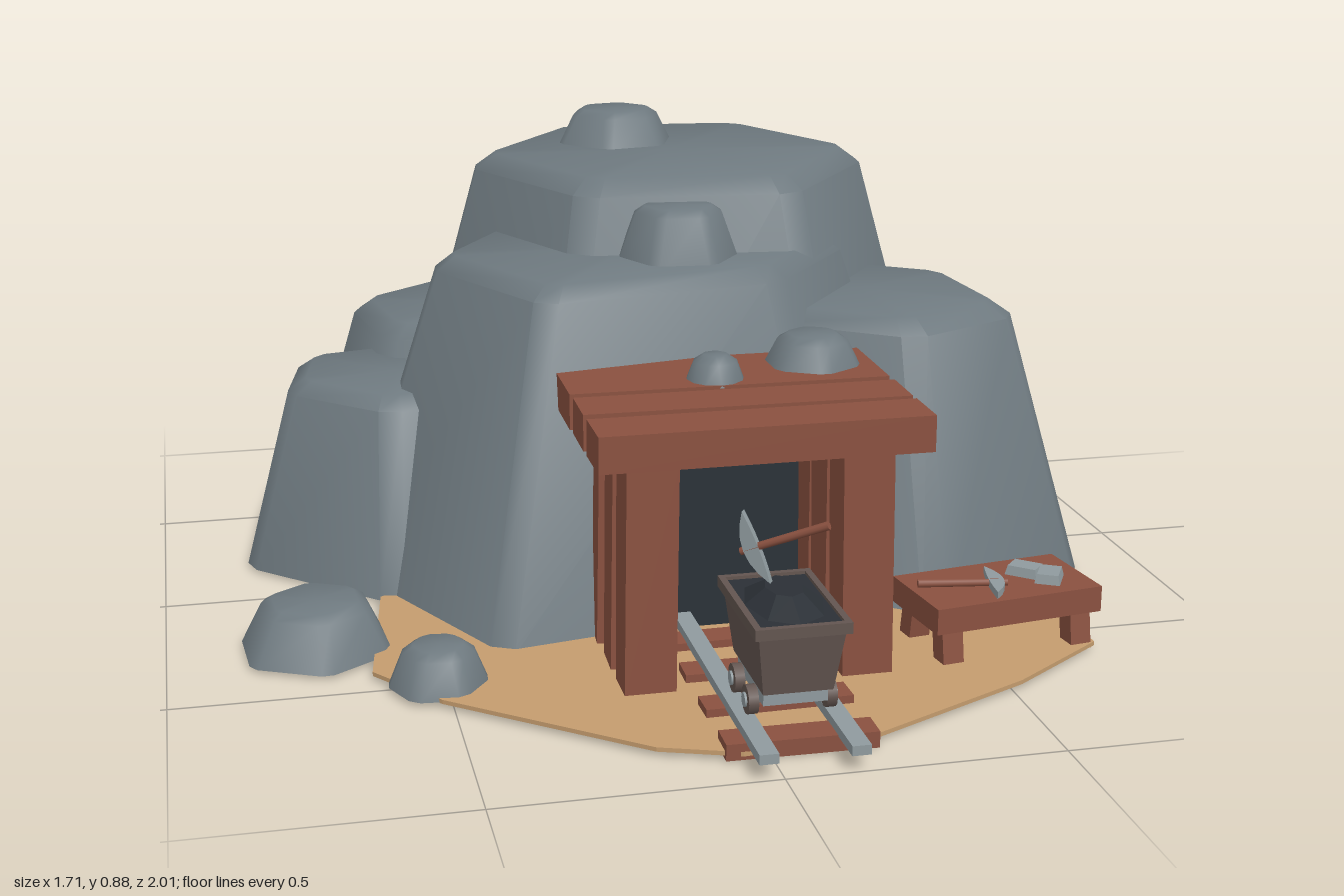
import * as THREE from 'three';
import { toCreasedNormals } from 'three/addons/utils/BufferGeometryUtils.js';

const mat = (name, color) => {
  const m = new THREE.MeshStandardMaterial({ color });
  m.name = name;
  return m;
};

// Bevelled rock: outline of [x, z] corners, narrowing to scale k at the top
function rockGeometry(outline, y0, y1, k, bevel) {
  const n = outline.length;
  const cx = outline.reduce((s, p) => s + p[0], 0) / n;
  const cz = outline.reduce((s, p) => s + p[1], 0) / n;
  // scaled outline with every corner cut into two points
  const ring = (s, y, cut) => outline.flatMap((p, i) =>
    [outline[(i + n - 1) % n], outline[(i + 1) % n]].map(q => {
      const t = cut / Math.hypot(q[0] - p[0], q[1] - p[1]) / s;
      const x = p[0] + (q[0] - p[0]) * t, z = p[1] + (q[1] - p[1]) * t;
      return [cx + (x - cx) * s, y, cz + (z - cz) * s];
    }));
  const r = Math.hypot(outline[0][0] - cx, outline[0][1] - cz);
  const yb = y1 - bevel * 0.65;
  const sb = 1 + (k - 1) * (yb - y0) / (y1 - y0);
  const rings = [ring(1, y0, bevel * 0.7), ring(sb, yb, bevel * 0.7), ring(k - bevel * 0.8 / r, y1, bevel * 0.5)];
  const m = n * 2, pos = [];
  const tri = (...v) => v.forEach(p => pos.push(...p));
  for (let i = 0; i < m; i++) {
    const j = (i + 1) % m;
    for (let l = 0; l < 2; l++) {
      const [a, b] = [rings[l], rings[l + 1]];
      tri(a[i], b[i], a[j]);
      tri(b[i], b[j], a[j]);
    }
    tri([cx, y1, cz], rings[2][j], rings[2][i]);
    tri([cx, y0, cz], rings[0][i], rings[0][j]);
  }
  const g = new THREE.BufferGeometry();
  g.setAttribute('position', new THREE.Float32BufferAttribute(pos, 3));
  return toCreasedNormals(g, 0.8);
}

const hexagon = (x, z, r, turn) => Array.from({ length: 6 }, (_, i) => {
  const a = turn + i * Math.PI / 3;
  return [x + r * Math.cos(a), z + r * Math.sin(a)];
});

// Box whose lower end is scaled by (sx, sz)
function taperedBox(w, h, d, sx, sz) {
  const g = new THREE.BoxGeometry(w, h, d), p = g.attributes.position;
  for (let i = 0; i < p.count; i++)
    if (p.getY(i) < 0) p.setXYZ(i, p.getX(i) * sx, p.getY(i), p.getZ(i) * sz);
  g.computeVertexNormals();
  return g;
}

export function createModel() {
  const model = new THREE.Group();
  model.name = 'mineEntrance';
  const stone = mat('stone', 0x6e797f), wood = mat('wood', 0x8a5140), sand = mat('sand', 0xc49c6e);
  const steel = mat('steel', 0x8f9a9e), dark = mat('shaftDark', 0x2a3238);
  const cartMat = mat('cartBody', 0x635550), coalMat = mat('coal', 0x2b3036);

  const add = (parent, name, geo, material, x = 0, y = 0, z = 0) => {
    const m = new THREE.Mesh(geo, material);
    m.name = name;
    m.position.set(x, y, z);
    parent.add(m);
    return m;
  };
  const box = (parent, name, material, w, h, d, x, y, z) =>
    add(parent, name, new THREE.BoxGeometry(w, h, d), material, x, y, z);
  const group = name => {
    const g = new THREE.Group();
    g.name = name;
    model.add(g);
    return g;
  };

  // Sandy ground
  const edge = [[0.72, 0.25], [0.72, 0.6], [0.52, 0.74], [0.19, 0.9], [-0.05, 0.92], [-0.19, 0.87],
    [-0.52, 0.6], [-0.63, 0.45], [-0.58, 0.08], [-0.2, -0.15], [0.4, -0.15]];
  const ground = new THREE.ExtrudeGeometry(
    new THREE.Shape(edge.map(([x, z]) => new THREE.Vector2(x, -z))), { depth: 0.008, bevelEnabled: false });
  ground.rotateX(-Math.PI / 2);
  add(model, 'ground', ground, sand, 0, 0.007, 0);

  // Mountain of overlapping rocks
  const mountain = group('mountain');
  const rock = (name, outline, y0, y1, k, bevel) => add(mountain, name, rockGeometry(outline, y0, y1, k, bevel), stone);
  rock('peakRock', hexagon(0.12, -0.415, 0.652, -0.944), 0.005, 0.81, 0.655, 0.05);
  rock('middleRock', [[0.67, -0.15], [0.34, 0.28], [-0.39, 0.41], [-0.65, -0.12], [-0.42, -0.48], [0.31, -0.61]],
    0.005, 0.665, 0.655, 0.045);
  rock('leftRock', [[0.82, -0.25], [0.855, 0.23], [0.475, 0.415], [0.07, 0.12], [0.04, -0.35], [0.415, -0.53]],
    0.005, 0.565, 0.66, 0.045);
  rock('backRightRock', [[0.04, -0.79], [0.1, -0.37], [-0.23, -0.11], [-0.62, -0.27], [-0.685, -0.69], [-0.35, -0.96]],
    0.005, 0.46, 0.67, 0.045);
  rock('rightRock', [[-0.17, -0.31], [-0.23, 0.02], [-0.56, 0.095], [-0.835, -0.17], [-0.775, -0.5], [-0.44, -0.57]],
    0.005, 0.395, 0.68, 0.04);
  rock('peakCap', hexagon(0.03, -0.555, 0.145, -0.2), 0.79, 0.882, 0.66, 0.02);
  rock('middleCap', hexagon(0.05, -0.015, 0.135, 0.1), 0.64, 0.767, 0.66, 0.02);

  // Loose boulders on the ground and the roof: x, z, radius, base, top, turn
  [[-0.72, 0.28, 0.155, 0.005, 0.1, 0.45], [-0.515, 0.51, 0.098, 0.008, 0.086, 0.1],
    [0.245, 0.29, 0.1, 0.505, 0.568, 0.5], [0.035, 0.36, 0.062, 0.505, 0.557, 0.3]]
    .forEach(([x, z, r, y0, y1, t]) => rock('boulder', hexagon(x, z, r, t), y0, y1, 0.68, 0.02));

  // Dark shaft opening
  box(model, 'shaftOpening', dark, 0.36, 0.43, 0.008, 0.05, 0.225, 0.36);

  // Timber porch: three pairs of posts and roof planks
  const porch = group('porch');
  [0.61, 0.495, 0.375].forEach((z, i) => {
    for (const s of [-1, 1]) {
      const post = add(porch, 'post', taperedBox(0.095, 0.44, 0.09, 1.0, 0.9), wood, 0.05 + s * 0.2, 0.222, z);
      post.rotation.set((i - 1) * 0.015, i * 0.04 * s, s * 0.012);
    }
  });
  [[0.625, 0.11], [0.493, 0.11], [0.31, 0.21]].forEach(([z, d], i) => {
    const plank = box(porch, 'roofPlank', wood, 0.61, 0.068, d, 0.055, 0.476, z);
    plank.rotation.y = [0, -0.015, -0.012][i];
  });

  // Track
  const track = group('track');
  for (const x of [-0.028, 0.132]) box(track, 'rail', steel, 0.034, 0.018, 0.65, x, 0.037, 0.675);
  for (let i = 0; i < 5; i++) {
    const tie = box(track, 'sleeper', wood, 0.27, 0.03, 0.06, 0.055, 0.015, 0.89 - i * 0.148);
    tie.rotation.y = i % 2 ? 0.02 : -0.015;
  }

  // Mine cart
  const cart = group('cart');
  cart.position.set(0.053, 0, 0.787);
  add(cart, 'cartBody', taperedBox(0.155, 0.12, 0.245, 0.8, 0.82), cartMat, 0, 0.16, 0);
  for (const s of [-1, 1]) {
    box(cart, 'cartRim', cartMat, 0.012, 0.02, 0.262, s * 0.079, 0.222, 0);
    box(cart, 'cartRim', cartMat, 0.17, 0.02, 0.012, 0, 0.222, s * 0.125);
  }
  box(cart, 'chassis', steel, 0.115, 0.03, 0.17, 0, 0.088, 0);
  for (const z of [-0.045, 0.048]) {
    add(cart, 'axle', new THREE.CylinderGeometry(0.008, 0.008, 0.15, 8).rotateZ(Math.PI / 2), steel, 0, 0.072, z);
    for (const s of [-1, 1]) {
      const wheel = side => new THREE.CylinderGeometry(side, side, 0.018, 12).rotateZ(Math.PI / 2);
      add(cart, 'wheel', wheel(0.026), cartMat, s * 0.07, 0.072, z);
      add(cart, 'hub', wheel(0.013), steel, s * 0.074, 0.072, z);
    }
  }
  const coal = new THREE.CylinderGeometry(0.045, 0.1, 0.032, 8).toNonIndexed();
  coal.scale(0.74, 1, 1.16);
  coal.computeVertexNormals();
  add(cart, 'coal', coal, coalMat, 0, 0.239, 0);
  box(cart, 'coalBed', coalMat, 0.148, 0.01, 0.24, 0, 0.221, 0);

  // Pickaxe: handle along +x, curved head at x = 0 spanning y
  const pickaxe = name => {
    const g = group(name);
    add(g, 'handle', new THREE.CylinderGeometry(0.007, 0.008, 0.17, 8).rotateZ(Math.PI / 2), wood, 0.065, 0, 0);
    const s = new THREE.Shape();
    s.moveTo(0.02, 0.068);
    s.quadraticCurveTo(-0.03, 0, 0.02, -0.068);
    s.quadraticCurveTo(0.028, 0, 0.02, 0.068);
    const head = new THREE.ExtrudeGeometry(s, { depth: 0.014, bevelEnabled: false, curveSegments: 6 });
    add(g, 'head', head, steel, -0.008, 0, -0.007);
    return g;
  };
  const cartPick = pickaxe('cartPickaxe');
  cartPick.position.set(0.003, 0.315, 0.752);
  cartPick.rotation.set(0, -0.56, 0.4);
  const tablePick = pickaxe('tablePickaxe');
  tablePick.position.set(0.535, 0.135, 0.56);
  tablePick.rotation.set(-Math.PI / 2, 0, Math.PI - 0.17);

  // Work table with metal bars
  const table = group('table');
  table.position.set(0.545, 0, 0.535);
  table.rotation.y = 0.14;
  box(table, 'tableTop', wood, 0.345, 0.05, 0.185, 0, 0.102, 0);
  for (const x of [-1, 1]) for (const z of [-1, 1]) {
    const leg = box(table, 'tableLeg', wood, 0.042, 0.086, 0.04, x * 0.135, 0.044, z * 0.065);
    leg.rotation.x = -z * 0.15;
  }
  [[0.07, -0.018, 0.7], [0.098, 0.025, -0.65]].forEach(([x, z, turn]) => {
    const bar = add(table, 'metalBar', taperedBox(0.04, 0.018, 0.055, 1.2, 1.15), steel, x, 0.136, z);
    bar.rotation.y = turn;
  });
  return model;
}
